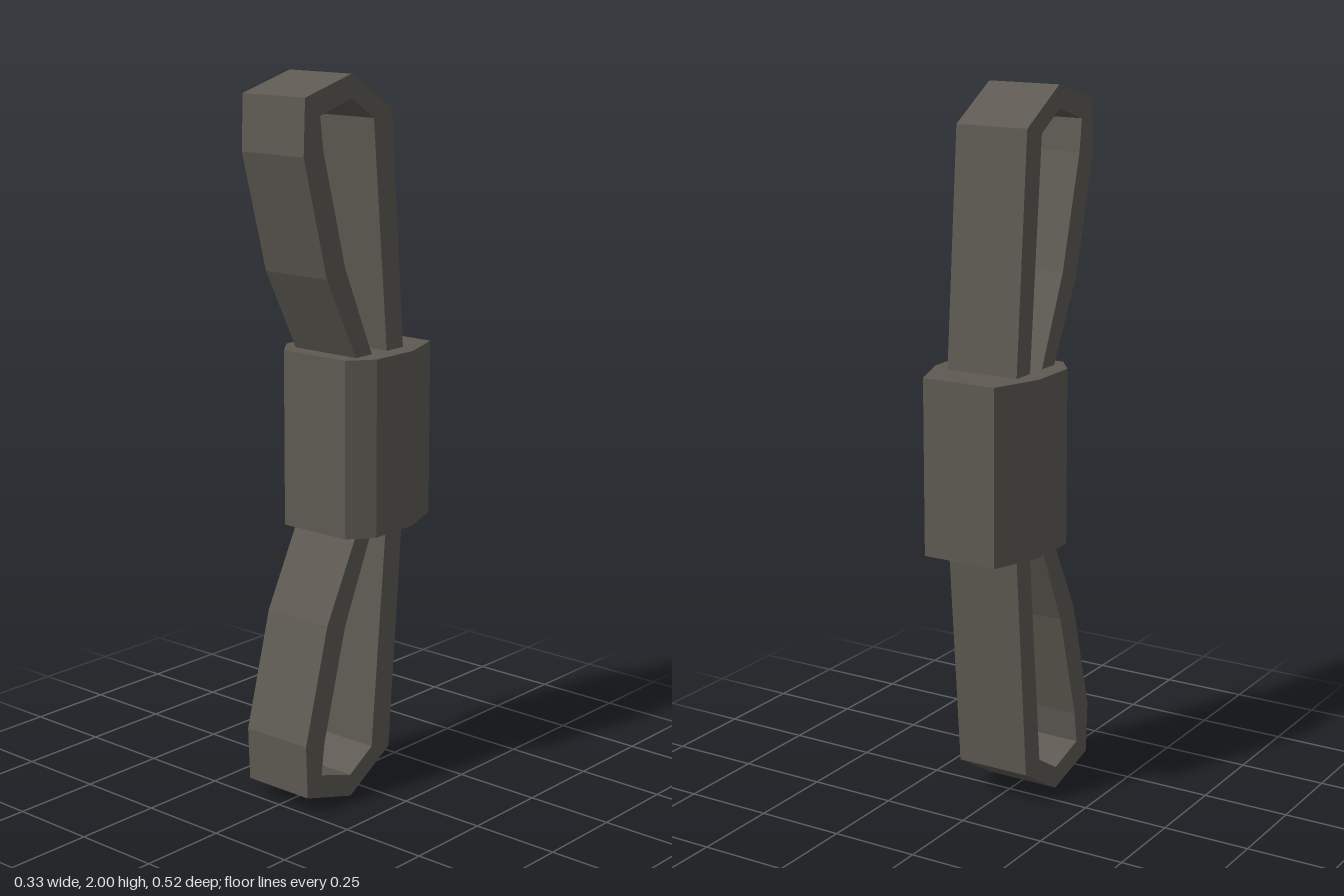
import * as THREE from 'three';

const WIDTH = 0.217;

// Folded strap loop as [z, y]: outer edge up and over, then the inner edge back.
const OUTER = [[-0.151, 1.15], [-0.091, 1.9], [0.073, 2], [0.252, 1.95], [0.258, 1.8], [0.17, 1.475], [0.003, 1.15]];
const INNER = [[-0.055, 1.15], [0.097, 1.495], [0.183, 1.81], [0.195, 1.9], [0.075, 1.937], [-0.017, 1.88], [-0.083, 1.15]];

// Half outline of the knot as [x, z], back to front.
const KNOT = [[0.11, -0.26], [0.163, -0.12], [0.163, 0.031], [0.11, 0.1]];

const toShape = (points) => new THREE.Shape(points.map(([a, b]) => new THREE.Vector2(a, b)));

// Extrudes a side profile across the width of the strap.
function strapGeometry(points) {
  const geometry = new THREE.ExtrudeGeometry(toShape(points), { depth: WIDTH, bevelEnabled: false });
  geometry.translate(0, 0, -WIDTH / 2);
  geometry.rotateY(-Math.PI / 2);
  return geometry;
}

export function createModel() {
  const group = new THREE.Group();
  group.name = 'bow';
  const fabric = new THREE.MeshStandardMaterial({ color: 0x5e5a53, flatShading: true });
  fabric.name = 'dark grey fabric';

  const add = (name, geometry) => {
    const mesh = new THREE.Mesh(geometry, fabric);
    mesh.name = name;
    group.add(mesh);
  };

  // Upper loop and its mirror image below; the ends are tucked into the knot.
  const profile = [...OUTER, ...INNER];
  add('upperLoop', strapGeometry(profile));
  add('lowerLoop', strapGeometry(profile.map(([z, y]) => [z, 2 - y])));

  // Eight-sided knot around the middle.
  const outline = [...KNOT, ...KNOT.map(([x, z]) => [-x, z]).reverse()];
  const knot = new THREE.ExtrudeGeometry(toShape(outline.map(([x, z]) => [x, -z])), { depth: 0.494, bevelEnabled: false });
  knot.rotateX(-Math.PI / 2);
  knot.translate(0, 0.755, 0);
  add('knot', knot);

  return group;
}
